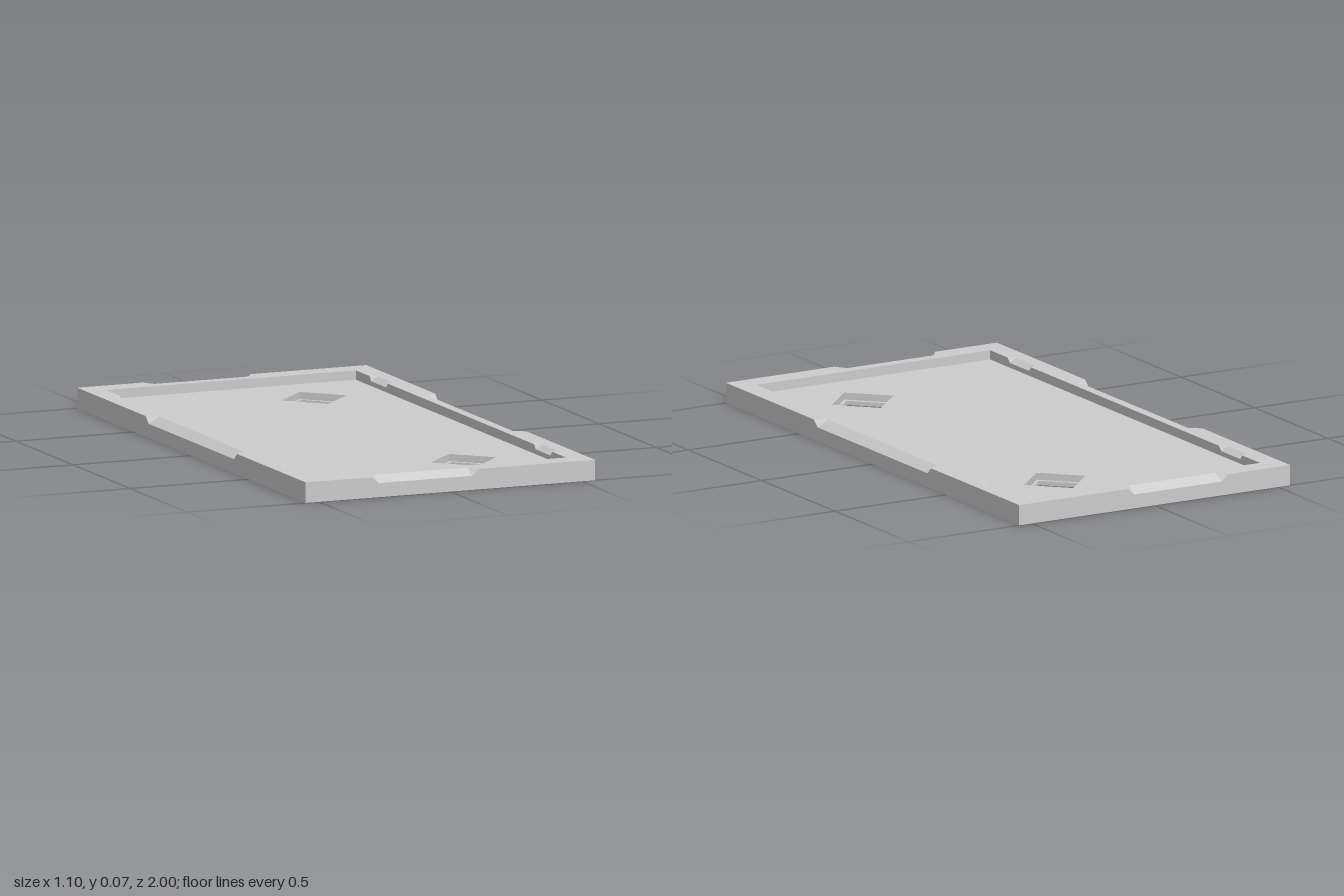
import * as THREE from 'three';

const HX = 0.55, HZ = 1, H = 0.073;        // outer half sizes and height
const IX = 0.475, IZ = 0.92;               // inner half sizes
const FLOOR_LOW = 0.025, FLOOR_TOP = 0.04, LEDGE = 0.015;
const HOLES = [[0.2, 0.655], [0.2, -0.655]];

const mat = new THREE.MeshStandardMaterial({ color: 0xcccccc, flatShading: true });
const v2 = (x, y) => new THREE.Vector2(x, y);
const rect = (hx, hy) => [v2(hx, -hy), v2(hx, hy), v2(-hx, hy), v2(-hx, -hy)];
const diamond = (r, cx, cy) => [v2(cx + r, cy), v2(cx, cy + r), v2(cx - r, cy), v2(cx, cy - r)];

function shapeOf(points, holes = []) {
  const s = new THREE.Shape(points);
  s.holes = holes.map((h) => new THREE.Path(h));
  return s;
}

// Horizontal slab between two heights
function slab(shape, y0, y1) {
  return new THREE.ExtrudeGeometry(shape, { depth: y1 - y0, bevelEnabled: false })
    .rotateX(-Math.PI / 2).translate(0, y0, 0);
}

// Loop around a rectangle whose sides carry sloped notches cut to the left of travel.
// Gives three rings: top edge, notch lips, foot.
function notchedRings(corners, notches, depth, inset, drop) {
  const top = [], lip = [], foot = [];
  const add = (t, l, y) => {
    top.push(new THREE.Vector3(t.x, H, -t.y));
    lip.push(new THREE.Vector3(l.x, y, -l.y));
    foot.push(new THREE.Vector3(l.x, 0, -l.y));
  };
  corners.forEach((c, i) => {
    const d = corners[(i + 1) % 4].clone().sub(c).normalize();
    const n = v2(-d.y, d.x);
    const at = (u) => c.clone().addScaledVector(d, u - c.dot(d));
    add(c, c, H);
    for (const [a, b] of notches[i]) {
      const p = at(a + inset), q = at(b - inset);
      add(at(a), at(a), H);
      add(p.clone().addScaledVector(n, depth), p, H - drop);
      add(q.clone().addScaledVector(n, depth), q, H - drop);
      add(at(b), at(b), H);
    }
  });
  return [top, lip, foot];
}

// Faces between successive rings, skipping collapsed triangles
function loft(rings) {
  const pos = [];
  const tri = (a, b, c) => {
    if (new THREE.Triangle(a, b, c).getArea() > 1e-7) for (const p of [a, b, c]) pos.push(p.x, p.y, p.z);
  };
  for (let r = 0; r < rings.length - 1; r++) {
    const up = rings[r], lo = rings[r + 1];
    for (let i = 0; i < up.length; i++) {
      const j = (i + 1) % up.length;
      tri(lo[i], lo[j], up[j]);
      tri(lo[i], up[j], up[i]);
    }
  }
  const g = new THREE.BufferGeometry();
  g.setAttribute('position', new THREE.Float32BufferAttribute(pos, 3));
  g.computeVertexNormals();
  return g;
}

export function createModel() {
  const model = new THREE.Group();
  model.name = 'tray';
  const add = (parent, name, geometry) => {
    const m = new THREE.Mesh(geometry, mat);
    m.name = name;
    parent.add(m);
  };

  // Rim: notched outer and inner walls with flat top and underside
  const rim = new THREE.Group();
  rim.name = 'rim';
  model.add(rim);
  const long = [[-0.4, 0.4]], pair = [[-0.8, -0.64], [0.64, 0.8]];
  const outer = notchedRings(rect(HX, HZ), [long, [[-0.11, 0.3]], long, [[-0.3, 0.11]]], 0.04, 0.027, 0.023);
  // The inner loop runs the other way round so its faces look inward
  const inner = notchedRings(rect(IX, IZ).reverse(), [pair, [], pair, []], 0.025, 0.015, 0.016);
  add(rim, 'outerWall', loft(outer));
  add(rim, 'innerWall', loft(inner));
  const flat = (ring) => ring.map((p) => v2(p.x, -p.z));
  add(rim, 'rimTop', new THREE.ShapeGeometry(shapeOf(flat(outer[0]), [flat(inner[0])]))
    .rotateX(-Math.PI / 2).translate(0, H, 0));
  add(rim, 'rimUnderside', new THREE.ShapeGeometry(shapeOf(rect(HX, HZ), [rect(IX, IZ)]))
    .rotateX(Math.PI / 2));

  // Floor panel, recessed from above and below
  add(model, 'floorPanel', slab(
    shapeOf(rect(IX, IZ), HOLES.map(([x, y]) => diamond(0.125, x, y))), FLOOR_LOW, FLOOR_TOP));

  // Diamond sockets: collar under the floor with a ledge around the opening
  for (const [x, y] of HOLES) {
    const socket = new THREE.Group();
    socket.name = 'diamondSocket';
    model.add(socket);
    add(socket, 'socketLedge', slab(shapeOf(diamond(0.132, x, y), [diamond(0.105, x, y)]), 0, LEDGE));
    add(socket, 'socketCollar', slab(shapeOf(diamond(0.132, x, y), [diamond(0.125, x, y)]), LEDGE, FLOOR_LOW));
  }
  return model;
}
